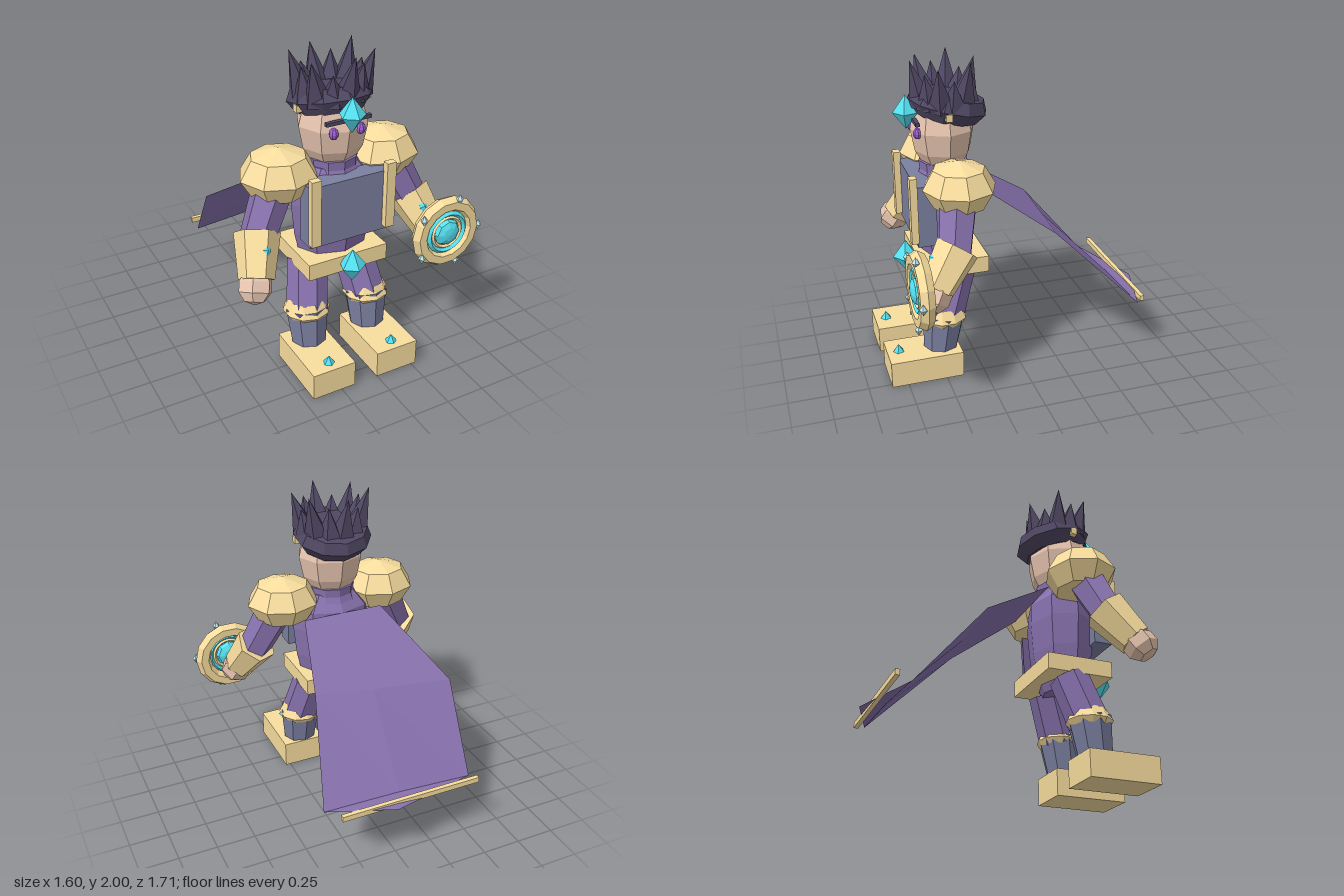
import * as THREE from 'three';

const mat = (color) => new THREE.MeshStandardMaterial({ color, flatShading: true, side: THREE.DoubleSide });
const gold = mat(0xf8dd9e), purple = mat(0x8872ae), steel = mat(0x7b80a0), dark = mat(0x4f4762);
const skin = mat(0xe8c6b0), cyan = mat(0x55e2f2), violet = mat(0xa060d8), silver = mat(0xc4e6ee);

const V = (x, y, z) => new THREE.Vector3(x, y, z);

export function createModel() {
  const model = new THREE.Group();
  model.name = 'caped knight';
  // the body's centre line is off the origin because of the shield
  model.position.x = -0.08;

  const add = (name, geo, material, x = 0, y = 0, z = 0) => {
    const m = new THREE.Mesh(geo, material);
    m.name = name;
    m.position.set(x, y, z);
    model.add(m);
    return m;
  };
  const box = (name, material, w, h, d, x, y, z) =>
    add(name, new THREE.BoxGeometry(w, h, d), material, x, y, z);
  // profile: [radius, height] from bottom to top
  const lathe = (name, material, profile, sides, x, y, z) =>
    add(name, new THREE.LatheGeometry(profile.map((p) => new THREE.Vector2(...p)), sides), material, x, y, z);
  // double pyramid
  const gem = (name, material, r, h, x, y, z) =>
    lathe(name, material, [[0, -h], [r, 0], [0, h]], 5, x, y, z);
  // tapered prism between two points
  const limb = (name, material, a, b, ra, rb, sides = 8) => {
    const dir = b.clone().sub(a);
    const m = add(name, new THREE.CylinderGeometry(rb, ra, dir.length(), sides), material);
    m.position.copy(a).add(b).multiplyScalar(0.5);
    m.quaternion.setFromUnitVectors(V(0, 1, 0), dir.normalize());
    return m;
  };

  // legs, arms, straps and face details, mirrored
  for (const s of [-1, 1]) {
    const side = s > 0 ? 'left' : 'right';
    box(side + 'Boot', gold, 0.283, 0.17, 0.465, s * 0.22, 0.085, 0.622);
    gem(side + 'BootGem', cyan, 0.036, 0.05, s * 0.22, 0.17, 0.78);
    limb(side + 'Shin', steel, V(s * 0.21, 0.14, 0.505), V(s * 0.21, 0.4, 0.475), 0.108, 0.138);
    lathe(side + 'KneeCuff', gold, [[0.125, 0.345], [0.147, 0.38], [0.108, 0.455]], 10, s * 0.21, 0, 0.475);
    limb(side + 'Thigh', purple, V(s * 0.205, 0.38, 0.475), V(s * 0.155, 0.675, 0.377), 0.13, 0.125, 7);

    const pad = add(side + 'ShoulderPad', new THREE.SphereGeometry(1, 8, 4), gold, s * 0.342, 1.3, 0.388);
    pad.scale.set(0.238, 0.165, 0.223);
    limb(side + 'UpperArm', purple, V(s * 0.37, 1.27, 0.4), V(s * 0.53, 0.95, 0.47), 0.125, 0.105, 6);
    limb(side + 'Gauntlet', gold, V(s * 0.515, 0.99, 0.45), V(s * 0.595, 0.78, 0.6), 0.137, 0.105, 6);
    const shard = gem(side + 'GauntletGem', cyan, 0.028, 0.075, s * 0.53, 0.955, 0.6);
    shard.rotation.set(-0.5, 0, s * 0.25);
    const hand = add(side + 'Hand', new THREE.SphereGeometry(0.105, 6, 5), skin, s * 0.612, 0.75, 0.62);
    hand.rotation.set(-0.5, 0, s * 0.3);
    box(side + 'Strap', gold, 0.06, 0.42, 0.045, s * 0.245, 1.14, 0.648);

    const eye = add(side + 'Eye', new THREE.SphereGeometry(0.028, 8, 6), violet, s * 0.087, 1.565, 0.572);
    eye.scale.y = 1.25;
    box(side + 'HairClip', gold, 0.04, 0.045, 0.04, s * 0.225, 1.69, 0.41);
  }

  // torso
  const torso = lathe('torso', purple,
    [[0, 0.62], [0.12, 0.62], [0.17, 0.76], [0.19, 0.88], [0.205, 1.08], [0.2, 1.22], [0.13, 1.32], [0, 1.32]],
    8, 0, 0, 0.4);
  torso.scale.x = 1.32;
  lathe('collar', purple, [[0.17, 1.26], [0.15, 1.31], [0.155, 1.365], [0, 1.375]], 10, 0, 0, 0.4);
  box('chestPlate', steel, 0.53, 0.39, 0.12, 0, 1.095, 0.57);
  box('belt', gold, 0.53, 0.105, 0.43, 0, 0.725, 0.403);
  gem('beltGem', cyan, 0.083, 0.107, 0, 0.73, 0.662);

  // head
  const head = lathe('head', skin,
    [[0, 1.36], [0.15, 1.36], [0.19, 1.43], [0.218, 1.57], [0.185, 1.7], [0, 1.76]], 8, 0, 0, 0.4);
  head.scale.z = 0.92;
  box('brow', dark, 0.29, 0.022, 0.025, 0, 1.635, 0.58);
  gem('browGem', cyan, 0.08, 0.107, 0, 1.68, 0.622);

  // hair cap tipped back, with a crown of uneven spikes
  const cap = lathe('hairCap', dark,
    [[0, -0.05], [0.2, -0.075], [0.252, 0], [0.22, 0.07], [0, 0.09]], 10, 0, 1.705, 0.365);
  cap.rotation.x = -0.24;
  const spikes = 12;
  for (let i = 0; i < spikes; i++) {
    const a = ((i + 0.25) / spikes) * Math.PI * 2;
    const tip = 2.0 - [0, 0.07, 0.02, 0.1][i % 4];
    const R = i % 2 ? 0.21 : 0.25;
    limb('hairSpike', dark, V(Math.sin(a) * 0.165, 1.73, 0.385 + Math.cos(a) * 0.135),
      V(Math.sin(a) * R, tip, 0.39 + Math.cos(a) * R * 0.82), 0.085, 0, 5);
  }

  // round open-backed shield facing forward
  const sx = 0.63, sy = 0.81;
  const ring = (name, material, r, tube, sides, steps, z) =>
    add(name, new THREE.TorusGeometry(r, tube, sides, steps), material, sx, sy, z);
  ring('shieldRim', gold, 0.187, 0.05, 6, 14, 0.705);
  ring('shieldRing', cyan, 0.126, 0.018, 4, 24, 0.725);
  ring('shieldGemSetting', gold, 0.1, 0.013, 4, 24, 0.725);
  const boss = add('shieldGem', new THREE.SphereGeometry(0.09, 8, 6), cyan, sx, sy, 0.722);
  boss.rotation.x = Math.PI / 2;
  boss.scale.y = 0.5;
  for (let i = 0; i < 5; i++) {
    const a = (i / 5) * Math.PI * 2;
    gem('shieldStud', silver, 0.024, 0.036, sx + Math.cos(a) * 0.226, sy + Math.sin(a) * 0.226, 0.738);
  }

  // cape streaming out behind: rows of right, middle, left points, then the tail tip
  const rows = [
    [-0.27, 1.22, 0.2, 0, 1.22, 0.2, 0.27, 1.22, 0.2],
    [-0.525, 0.86, -0.305, 0, 0.893, -0.26, 0.38, 0.925, -0.215],
    [-0.455, 0.385, -0.705, 0.05, 0.425, -0.715, 0.55, 0.44, -0.72],
    [0.125, 0.415, -0.855],
  ];
  const index = [6, 7, 9, 7, 8, 9];
  for (const i of [0, 1, 3, 4]) index.push(i, i + 1, i + 3, i + 1, i + 4, i + 3);
  const cape = new THREE.BufferGeometry();
  cape.setAttribute('position', new THREE.Float32BufferAttribute(rows.flat(), 3));
  cape.setIndex(index);
  cape.computeVertexNormals();
  add('cape', cape, purple);
  box('capeHem', gold, 0.93, 0.035, 0.028, 0, 0.417, -0.792);

  return model;
}
